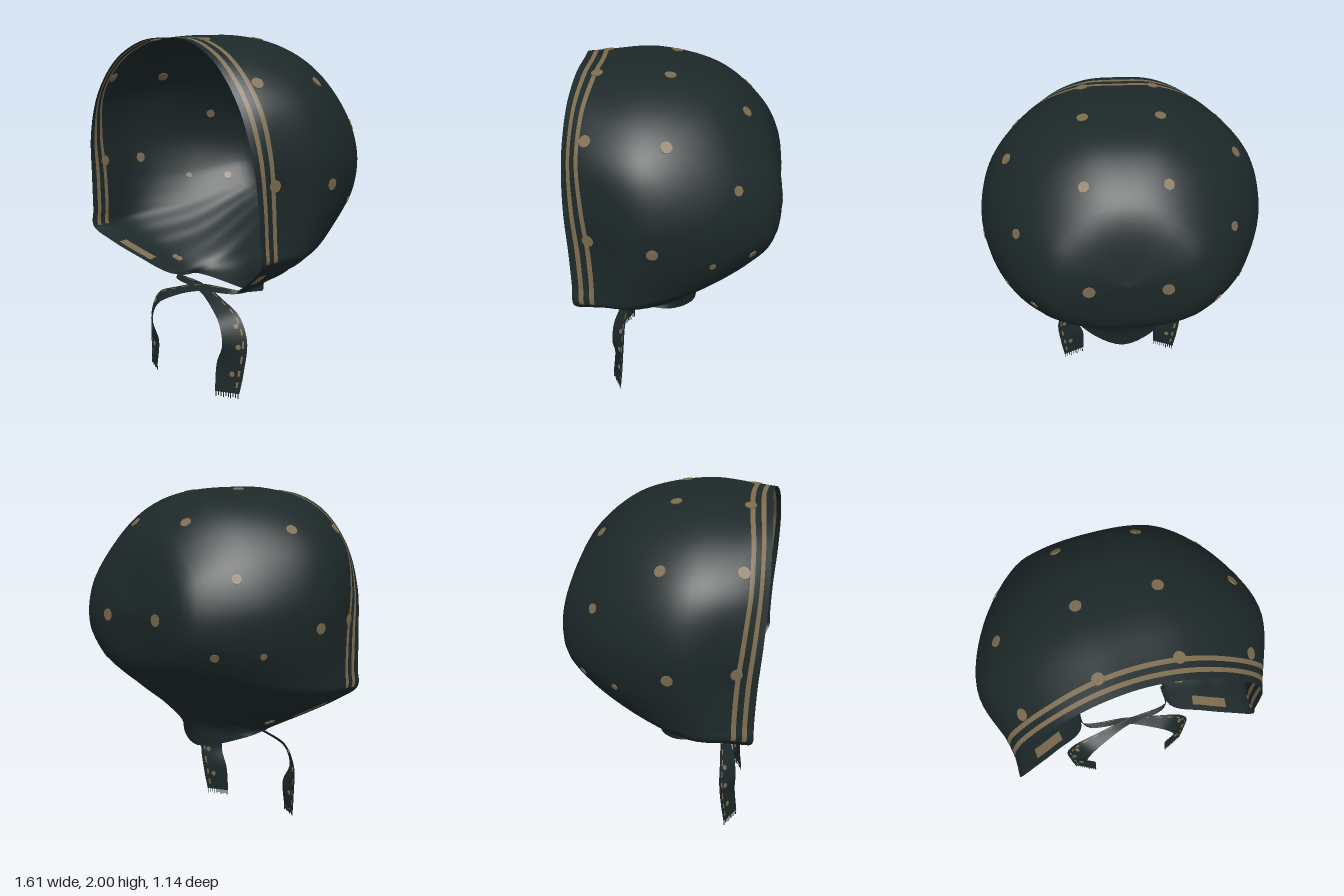
import * as THREE from 'three';

const clothMat = new THREE.MeshStandardMaterial({ color: 0x1d2829, side: THREE.DoubleSide });
clothMat.name = 'dark green cloth';
const trimMat = new THREE.MeshStandardMaterial({ color: 0x7c6c4f, side: THREE.DoubleSide });
trimMat.name = 'tan print';

const V = (x, y, z) => new THREE.Vector3(x, y, z);
const POLE = V(0, 1.3, -0.568);

// Half rings of the hood, from top centre down the +x side to the nape
const edge = [[0, 1.985, .54], [.2, 1.965, .55], [.41, 1.86, .565], [.58, 1.66, .57], [.67, 1.42, .56], [.70, 1.16, .54],
  [.708, .96, .532], [.712, .855, .53], [.61, .77, .47], [.47, .685, .39], [.29, .585, .27], [.275, .55, .06], [0, .475, -.08]];
const crown = [[0, 2.0, .16], [.27, 1.98, .16], [.55, 1.85, .15], [.735, 1.65, .15], [.805, 1.38, .14], [.785, 1.14, .16],
  [.757, .98, .2], [.735, .865, .22], [.63, .785, .19], [.5, .705, .16], [.32, .615, .12], [.23, .585, 0], [0, .57, -.098]];
const back = [[0, 1.93, -.2], [.23, 1.905, -.2], [.455, 1.79, -.2], [.63, 1.59, -.2], [.71, 1.35, -.2], [.69, 1.13, -.18],
  [.65, 1.02, -.16], [.6, .92, -.13], [.52, .84, -.11], [.42, .77, -.1], [.3, .7, -.08], [.17, .67, -.12], [0, .665, -.14]];
const rim = [[0, 1.75, -.43], [.17, 1.73, -.43], [.32, 1.65, -.44], [.46, 1.5, -.46], [.515, 1.33, -.47], [.515, 1.18, -.46],
  [.49, 1.1, -.44], [.45, 1.03, -.42], [.41, .975, -.4], [.34, .925, -.38], [.24, .88, -.36], [.12, .865, -.36], [0, .865, -.365]];
// strip behind the face edge, fuller at the shoulders, and the rounded back panel
const fullness = [0, .3, .5, .5, .3, .1, .05, 0];
const brim = edge.map(([x, y, z], i) => {
  const mix = (k, f) => edge[i][k] * (1 - f) + crown[i][k] * f;
  return i < 8 ? [mix(0, fullness[i]), mix(1, fullness[i]) + .002, z - .12] : [mix(0, .35), mix(1, .35), mix(2, .35)];
});
const panel = rim.map(([x, y]) => {
  const dy = (y - 1.3) * .72;
  return [x * .78, 1.3 + dy, -.552 + .5 * dy * dy];
});

// Mirror a half ring into a closed curve
function ringCurve(half) {
  const right = half.map(p => V(...p));
  const left = half.slice(1, -1).reverse().map(([x, y, z]) => V(-x, y, z));
  return new THREE.CatmullRomCurve3([...right, ...left], true);
}

// Hood: meridians run from the face edge to the middle of the back
function hoodGeometry() {
  const rings = [edge, brim, crown, back, rim, panel].map(ringCurve);
  const N = 168, bands = [0, .035, .06, .092, .118], REST = 32;
  const rows = bands.length + REST;
  const pos = [], cloth = [], trim = [];
  for (let i = 0; i < N; i++) {
    const t = i / N;
    const curve = new THREE.CatmullRomCurve3([...rings.map(r => r.getPoint(t)), POLE]);
    const L = curve.getLength(), last = bands[bands.length - 1];
    for (let j = 0; j < rows; j++) {
      const d = j < bands.length ? bands[j] : last + (L - last) * (j - bands.length + 1) / REST;
      const p = curve.getPointAt(Math.min(1, d / L));
      // soft gathers above the neck
      const g = THREE.MathUtils.smoothstep(1.1 - p.y, 0, .45) * THREE.MathUtils.smoothstep(d, .05, .2);
      const k = 1 + .009 * g * Math.cos(t * Math.PI * 2 * 24);
      pos.push(p.x * k, p.y, p.z * k);
    }
  }
  for (let i = 0; i < N; i++) {
    const ctl = (i + .5) / N * 24, s = Math.min(ctl, 24 - ctl), n = (i + 1) % N;
    for (let j = 0; j < rows - 1; j++) {
      const a = i * rows + j, b = n * rows + j;
      const onSide = s < 7 && (j === 1 || j === 3);
      const onChin = s > 8.1 && s < 9.3 && (j === 1 || j === 2);
      (onSide || onChin ? trim : cloth).push(a, b, a + 1, b, b + 1, a + 1);
    }
  }
  return build(pos, cloth, trim);
}

// Geometry with one cloth group and one trim group
function build(pos, cloth, trim) {
  const g = new THREE.BufferGeometry();
  g.setAttribute('position', new THREE.Float32BufferAttribute(pos, 3));
  g.setIndex([...cloth, ...trim]);
  g.addGroup(0, cloth.length, 0);
  g.addGroup(cloth.length, trim.length, 1);
  g.computeVertexNormals();
  return g;
}

// Flat dot lying on the hood, visible inside and out
function dot(hood, target, r) {
  const P = hood.attributes.position, normals = hood.attributes.normal;
  const v = V(), near = V(), n = V();
  let best = Infinity;
  for (let i = 0; i < P.count; i++) {
    const d = v.fromBufferAttribute(P, i).distanceToSquared(target);
    if (d < best) { best = d; near.copy(v); n.fromBufferAttribute(normals, i); }
  }
  const m = new THREE.Mesh(new THREE.CylinderGeometry(r, r, .008, 14), trimMat);
  m.position.copy(target).addScaledVector(n, -n.dot(target.clone().sub(near)));
  m.quaternion.setFromUnitVectors(V(0, 1, 0), n);
  m.name = 'dot';
  return m;
}

// Ribbon between an outer and an inner edge, with a broken stripe and a fringe
function tie(side, lift, forward) {
  const map = ([x, y, z]) => V(side * x, y + lift * (1 - y / .6), z + forward);
  const outer = new THREE.CatmullRomCurve3([[-.285, .575, .12], [-.28, .587, .23], [0, .58, .275], [.2, .525, .30],
    [.34, .465, .315], [.405, .34, .32], [.395, .16, .335], [.375, .03, .35]].map(map));
  const inner = new THREE.CatmullRomCurve3([[-.27, .56, .12], [-.255, .565, .26], [0, .54, .305], [.15, .49, .355],
    [.26, .42, .395], [.295, .31, .405], [.245, .19, .40], [.245, .03, .415]].map(map));
  const group = new THREE.Group();
  const M = 56, across = [0, .12, .2, .5, .8, 1], W = across.length;
  const pos = [], cloth = [], trim = [];
  for (let i = 0; i <= M; i++) {
    const a = outer.getPoint(i / M), b = inner.getPoint(i / M);
    across.forEach(f => pos.push(...a.clone().lerp(b, f).toArray()));
  }
  for (let i = 0; i < M; i++) for (let j = 0; j < W - 1; j++) {
    const a = i * W + j, b = a + W;
    const list = j === 1 && i > 6 && i % 4 < 2 ? trim : cloth;
    if (side > 0) list.push(a, a + 1, b, b, a + 1, b + 1);
    else list.push(a, b, a + 1, b, b + 1, a + 1);
  }
  const ribbon = new THREE.Mesh(build(pos, cloth, trim), [clothMat, trimMat]);
  ribbon.name = 'ribbon';
  group.add(ribbon);

  // printed dots on the hanging part
  for (const [t, f] of [[.62, .3], [.74, .35], [.89, .4]]) {
    const a = outer.getPoint(t), b = inner.getPoint(t);
    const n = b.clone().sub(a).cross(outer.getTangent(t)).normalize();
    const d = new THREE.Mesh(new THREE.CylinderGeometry(.015, .015, .008, 10), trimMat);
    d.position.copy(a.lerp(b, f));
    d.quaternion.setFromUnitVectors(V(0, 1, 0), n);
    d.name = 'ribbonDot';
    group.add(d);
  }

  // fringe threads at the cut end
  const a = outer.getPoint(1), b = inner.getPoint(1);
  for (let i = 0; i < 10; i++) {
    const h = .03 - (i % 3) * .005;
    const thread = new THREE.Mesh(new THREE.BoxGeometry(.004, h, .004), clothMat);
    thread.position.copy(a).lerp(b, (i + .5) / 10);
    thread.position.y -= h / 2;
    thread.name = 'fringeThread';
    group.add(thread);
  }
  return group;
}

export function createModel() {
  const model = new THREE.Group();
  model.name = 'bonnet';

  const hoodGeo = hoodGeometry();
  const hood = new THREE.Mesh(hoodGeo, [clothMat, trimMat]);
  hood.name = 'hood';
  model.add(hood);

  // x, y, z, radius of the dots on one side
  const spots = [[.21, 1.99, .045, .031], [.64, 1.765, .025, .031], [.785, 1.235, .09, .031], [.22, 1.8, -.365, .03],
    [.59, 1.51, -.34, .027], [.21, 1.28, -.55, .034], [.5, 1.1, -.41, .024], [.66, 1.1, -.21, .019],
    [.2, 1.97, .435, .032], [.59, 1.755, .44, .032], [.72, 1.25, .435, .032], [.385, .665, .15, .02], [.375, .635, .135, .02]];
  const dots = new THREE.Group();
  dots.name = 'dots';
  for (const [x, y, z, r] of spots) for (const s of [1, -1]) dots.add(dot(hoodGeo, V(s * x, y, z), r));
  model.add(dots);

  // crossed ties under the chin
  const leftTie = tie(1, 0, 0);
  leftTie.name = 'leftTie';
  const rightTie = tie(-1, .025, .012);
  rightTie.name = 'rightTie';
  model.add(leftTie, rightTie);
  return model;
}
